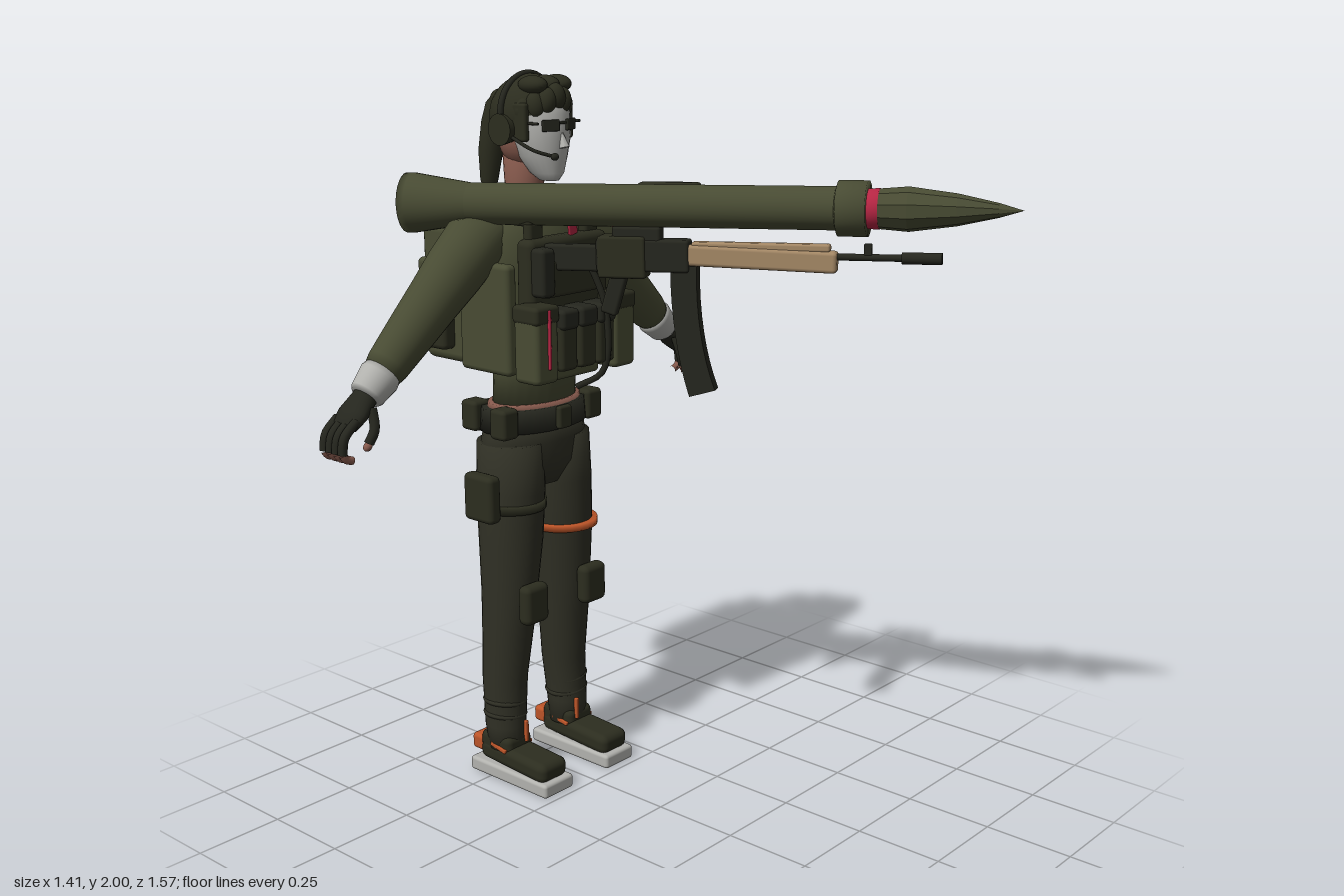
import * as THREE from 'three';
import { RoundedBoxGeometry } from 'three/addons/geometries/RoundedBoxGeometry.js';

const mat = (name, color, side = THREE.FrontSide) => {
  const m = new THREE.MeshStandardMaterial({ color, side });
  m.name = name;
  return m;
};

export function createModel() {
  const olive = mat('olive', 0x484b33), dark = mat('dark olive', 0x2c2d1f, THREE.DoubleSide),
    trouser = mat('trouser', 0x303025), black = mat('gunmetal', 0x25261e),
    grey = mat('light grey', 0xb2b2ae), skin = mat('skin', 0x875a4d),
    orange = mat('orange', 0xbb5428), red = mat('red', 0xb82644), tan = mat('tan', 0xa38765);
  const model = new THREE.Group();

  const add = (parent, name, geo, material, p = [0, 0, 0], r = [0, 0, 0], s = [1, 1, 1]) => {
    const m = new THREE.Mesh(geo, material);
    m.name = name;
    m.position.set(...p); m.rotation.set(...r); m.scale.set(...s);
    parent.add(m);
    return m;
  };
  const box = (parent, name, material, size, p, r, radius = 0.012) =>
    add(parent, name, new RoundedBoxGeometry(...size, 2, Math.min(radius, Math.min(...size) * 0.4)), material, p, r);
  const ball = (parent, name, material, p, s, r) =>
    add(parent, name, new THREE.SphereGeometry(1, 20, 14), material, p, r, s);
  const rod = (parent, name, material, r1, r2, len, p, r, n = 14) =>
    add(parent, name, new THREE.CylinderGeometry(r1, r2, len, n), material, p, r);
  const tube = (parent, name, material, pts, rad, n = 20) =>
    add(parent, name, new THREE.TubeGeometry(new THREE.CatmullRomCurve3(pts.map(q => new THREE.Vector3(...q))), n, rad, 8), material);

  // Skin over horizontal ellipses, rows from bottom to top: [y, cx, cz, rx, rz]
  const loft = (parent, name, material, rows, n = 24) => {
    const pos = [], idx = [];
    for (const [y, cx, cz, rx, rz] of rows)
      for (let i = 0; i < n; i++) {
        const a = i / n * Math.PI * 2;
        pos.push(cx + rx * Math.sin(a), y, cz + rz * Math.cos(a));
      }
    for (let j = 0; j < rows.length - 1; j++)
      for (let i = 0; i < n; i++) {
        const k = (i + 1) % n, a = j * n + i, b = j * n + k;
        idx.push(a, b, b + n, a, b + n, a + n);
      }
    const last = rows.length - 1, base = pos.length / 3;
    pos.push(rows[0][1], rows[0][0], rows[0][2], rows[last][1], rows[last][0], rows[last][2]);
    for (let i = 0; i < n; i++) {
      const k = (i + 1) % n;
      idx.push(base, k, i, base + 1, last * n + i, last * n + k);
    }
    const g = new THREE.BufferGeometry();
    g.setAttribute('position', new THREE.Float32BufferAttribute(pos, 3));
    g.setIndex(idx);
    g.computeVertexNormals();
    return add(parent, name, g, material);
  };
  const part = (name) => { const g = new THREE.Group(); g.name = name; model.add(g); return g; };

  // Legs and shoes
  for (const s of [1, -1]) {
    const leg = part(s > 0 ? 'leftLeg' : 'rightLeg');
    loft(leg, 'trouserLeg', trouser, [
      [0.09, s * 0.125, -0.48, 0.055, 0.055], [0.16, s * 0.127, -0.485, 0.058, 0.06],
      [0.3, s * 0.12, -0.49, 0.066, 0.064], [0.45, s * 0.113, -0.48, 0.074, 0.074],
      [0.56, s * 0.108, -0.475, 0.078, 0.082], [0.72, s * 0.1, -0.472, 0.09, 0.092],
      [0.86, s * 0.094, -0.475, 0.094, 0.1], [1.0, s * 0.09, -0.475, 0.088, 0.1]]);
    box(leg, 'kneePad', dark, [0.09, 0.115, 0.045], [s * 0.117, 0.55, -0.37], [0, 0, 0], 0.02);
    box(leg, 'sole', grey, [0.115, 0.042, 0.31], [s * 0.127, 0.021, -0.425], [0, 0, 0], 0.01);
    box(leg, 'shoe', dark, [0.105, 0.06, 0.26], [s * 0.127, 0.07, -0.415], [0.06, 0, 0], 0.022);
    box(leg, 'shoeCollar', dark, [0.1, 0.08, 0.12], [s * 0.127, 0.095, -0.485], [0, 0, 0], 0.02);
    box(leg, 'heelTab', orange, [0.088, 0.048, 0.05], [s * 0.127, 0.086, -0.56]);
    box(leg, 'sideStripe', orange, [0.112, 0.012, 0.06], [s * 0.127, 0.1, -0.465], [0.2, 0, 0], 0.003);
    box(leg, 'lacePull', orange, [0.012, 0.065, 0.012], [s * 0.105, 0.14, -0.424], [0, 0, 0], 0.003);
    for (const y of [0.19, 0.23])
      add(leg, 'trouserFold', new THREE.TorusGeometry(0.056, 0.008, 6, 24), trouser,
        [s * 0.126, y, -0.487], [Math.PI / 2, s * 0.12, 0]);
  }
  loft(model, 'hips', trouser, [[0.87, 0, -0.475, 0.09, 0.07], [0.93, 0, -0.477, 0.165, 0.1],
    [1.0, 0, -0.475, 0.178, 0.105], [1.06, 0, -0.472, 0.165, 0.098]]);
  loft(model, 'thighBand', orange, [[0.715, 0.101, -0.468, 0.102, 0.104], [0.735, 0.101, -0.468, 0.102, 0.104]]);
  loft(model, 'holsterStrap', dark, [[0.81, -0.096, -0.474, 0.099, 0.103], [0.835, -0.096, -0.474, 0.099, 0.103]]);
  box(model, 'holster', dark, [0.045, 0.135, 0.11], [-0.207, 0.86, -0.47], [0, 0, 0], 0.015);

  // Belt and pouches
  loft(model, 'belt', black, [[1.035, 0, -0.472, 0.178, 0.112], [1.1, 0, -0.472, 0.172, 0.108]]);
  box(model, 'buckle', dark, [0.05, 0.065, 0.02], [0, 1.07, -0.355]);
  for (const [x, z] of [[0.165, -0.42], [-0.165, -0.42], [0.14, -0.56], [-0.14, -0.56]])
    box(model, 'beltPouch', dark, [0.06, 0.085, 0.06], [x, 1.07, z]);
  for (const x of [-0.06, 0.06]) box(model, 'rearPouch', dark, [0.08, 0.08, 0.055], [x, 1.045, -0.605]);
  loft(model, 'waist', skin, [[1.08, 0, -0.47, 0.158, 0.1], [1.112, 0, -0.47, 0.152, 0.096]]);

  // Jacket and collar
  loft(model, 'jacket', olive, [[1.1, 0, -0.468, 0.138, 0.088], [1.2, 0, -0.465, 0.135, 0.088],
    [1.35, 0, -0.465, 0.155, 0.1], [1.48, 0, -0.468, 0.175, 0.11], [1.57, 0, -0.475, 0.18, 0.105],
    [1.63, 0, -0.485, 0.125, 0.085], [1.66, 0, -0.49, 0.07, 0.06]]);
  loft(model, 'collar', grey, [[1.57, 0, -0.51, 0.14, 0.11], [1.63, 0, -0.51, 0.13, 0.11],
    [1.67, 0, -0.51, 0.1, 0.09], [1.685, 0, -0.5, 0.065, 0.065]]);

  // Arms, local -y runs from shoulder to hand
  for (const s of [1, -1]) {
    const arm = part(s > 0 ? 'leftArm' : 'rightArm');
    arm.position.set(s * 0.19, 1.56, -0.49);
    arm.rotation.z = s * 0.84;
    loft(arm, 'sleeve', olive, [[-0.45, 0, 0, 0.05, 0.05], [-0.42, 0, 0, 0.058, 0.055], [-0.3, 0, 0, 0.068, 0.062],
      [-0.2, 0, 0, 0.075, 0.068], [-0.1, 0, 0, 0.084, 0.076], [0, 0, 0, 0.086, 0.082], [0.07, -s * 0.02, 0, 0.05, 0.055]]);
    loft(arm, 'cuff', grey, [[-0.525, 0, 0, 0.04, 0.04], [-0.515, 0, 0, 0.047, 0.046], [-0.46, 0, 0, 0.056, 0.053], [-0.44, 0, 0, 0.05, 0.05]]);
    ball(arm, 'elbowPad', dark, [0, -0.21, -0.055], [0.04, 0.055, 0.026]);
    loft(arm, 'glove', black, [[-0.62, 0, 0, 0.02, 0.045], [-0.58, 0, 0, 0.027, 0.05], [-0.53, 0, 0, 0.03, 0.036], [-0.5, 0, 0, 0.034, 0.035]]);
    for (let i = 0; i < 4; i++) {
      const z = -0.036 + i * 0.024;
      tube(arm, 'finger', black, [[s * 0.006, -0.6, z], [s * 0.006, -0.655, z], [-s * 0.02, -0.69, z]], 0.0125, 8);
      tube(arm, 'fingerTip', skin, [[-s * 0.018, -0.688, z], [-s * 0.035, -0.69, z], [-s * 0.055, -0.68, z]], 0.011, 6);
    }
    tube(arm, 'thumb', black, [[-s * 0.01, -0.545, 0.035], [-s * 0.045, -0.585, 0.05], [-s * 0.06, -0.62, 0.045]], 0.013, 8);
    ball(arm, 'thumbTip', skin, [-s * 0.063, -0.627, 0.044], [0.011, 0.014, 0.011]);
  }
  box(model, 'sleevePatch', red, [0.055, 0.009, 0.05], [0.333, 1.553, -0.485], [0, 0, -0.7], 0.003);

  // Vest with pouches
  const vest = part('vest');
  box(vest, 'frontPlate', dark, [0.3, 0.37, 0.06], [0, 1.39, -0.35], [0, 0, 0], 0.02);
  for (const s of [1, -1]) {
    box(vest, 'shoulderStrap', dark, [0.055, 0.03, 0.24], [s * 0.105, 1.62, -0.46]);
    box(vest, 'chestStrap', dark, [0.055, 0.12, 0.03], [s * 0.105, 1.56, -0.355]);
    box(vest, 'sidePouch', olive, [0.085, 0.2, 0.09], [s * 0.15, 1.3, -0.305], [0, 0, 0], 0.015);
    box(vest, 'sidePouchFlap', dark, [0.09, 0.05, 0.095], [s * 0.15, 1.385, -0.305]);
    box(vest, 'flankPanel', olive, [0.04, 0.3, 0.19], [s * 0.175, 1.36, -0.46], [0, 0, 0], 0.015);
  }
  for (let i = 0; i < 3; i++) {
    box(vest, 'magazinePouch', dark, [0.064, 0.15, 0.07], [-0.072 + i * 0.072, 1.3, -0.29]);
    box(vest, 'pouchFlap', black, [0.066, 0.055, 0.078], [-0.072 + i * 0.072, 1.365, -0.287]);
  }
  box(vest, 'adminPouch', dark, [0.2, 0.1, 0.04], [-0.02, 1.47, -0.31]);
  box(vest, 'radio', black, [0.05, 0.13, 0.05], [-0.12, 1.49, -0.305]);
  box(vest, 'lowerFlap', olive, [0.22, 0.06, 0.05], [0, 1.215, -0.345]);
  tube(vest, 'sling', black, [[0.02, 1.52, -0.28], [0.06, 1.38, -0.25], [0.07, 1.2, -0.27], [0.04, 1.15, -0.34]], 0.009);
  box(vest, 'redStrap', red, [0.03, 0.12, 0.009], [0.01, 1.63, -0.325], [0.15, 0, 0.25], 0.003);
  box(vest, 'redCord', red, [0.009, 0.16, 0.009], [-0.147, 1.32, -0.258], [0, 0, 0], 0.003);

  // Backpack
  const pack = part('backpack');
  box(pack, 'mainBag', olive, [0.32, 0.38, 0.18], [0, 1.4, -0.65], [0, 0, 0], 0.025);
  box(pack, 'lid', dark, [0.3, 0.07, 0.2], [0, 1.585, -0.645], [0, 0, 0], 0.025);
  box(pack, 'rearPocket', olive, [0.24, 0.17, 0.06], [0, 1.33, -0.755], [0, 0, 0], 0.018);
  box(pack, 'rearUpperPocket', olive, [0.21, 0.12, 0.05], [0, 1.5, -0.755], [0, 0, 0], 0.018);
  box(pack, 'pocketFlap', dark, [0.245, 0.03, 0.066], [0, 1.415, -0.755]);
  for (const s of [1, -1]) {
    box(pack, 'sidePocket', dark, [0.05, 0.19, 0.11], [s * 0.178, 1.345, -0.665], [0, 0, 0], 0.015);
    box(pack, 'sidePocketFlap', olive, [0.05, 0.06, 0.1], [s * 0.175, 1.47, -0.665], [0, 0, 0], 0.015);
    box(pack, 'packStrap', dark, [0.03, 0.37, 0.19], [s * 0.1, 1.4, -0.652], [0, 0, 0], 0.01);
  }

  // Head, hair and headset
  const head = part('head');
  loft(head, 'neck', skin, [[1.6, 0, -0.495, 0.062, 0.06], [1.7, 0, -0.49, 0.052, 0.055], [1.8, 0, -0.485, 0.058, 0.065]]);
  ball(head, 'jaw', skin, [0, 1.825, -0.475], [0.077, 0.085, 0.082]);
  loft(head, 'mask', grey, [[1.715, 0, -0.395, 0.022, 0.03], [1.735, 0, -0.403, 0.042, 0.05], [1.78, 0, -0.418, 0.066, 0.068],
    [1.83, 0, -0.425, 0.08, 0.082], [1.89, 0, -0.43, 0.083, 0.084], [1.94, 0, -0.44, 0.075, 0.075]]);
  add(head, 'nose', new THREE.ConeGeometry(0.014, 0.05, 8), grey, [0, 1.828, -0.342], [-0.25, 0, 0]);
  for (const s of [1, -1]) {
    box(head, 'glassesLens', black, [0.05, 0.03, 0.009], [s * 0.037, 1.862, -0.349], [0, s * 0.35, 0], 0.003);
    rod(head, 'glassesArm', black, 0.004, 0.004, 0.09, [s * 0.078, 1.868, -0.4], [Math.PI / 2, 0, 0], 6);
    rod(head, 'earCup', dark, 0.042, 0.036, 0.035, [s * 0.096, 1.85, -0.465], [0, 0, -s * Math.PI / 2], 18);
    box(head, 'sideLock', dark, [0.02, 0.1, 0.05], [s * 0.083, 1.87, -0.415], [0, 0, 0], 0.009);
  }
  rod(head, 'glassesBridge', black, 0.004, 0.004, 0.03, [0, 1.868, -0.344], [0, 0, Math.PI / 2], 6);
  add(head, 'hairCap', new THREE.SphereGeometry(1, 28, 16, 0, Math.PI * 2, 0, Math.PI * 0.56), dark,
    [0, 1.885, -0.465], [-0.3, 0, 0], [0.1, 0.105, 0.115]);
  for (let i = 0; i < 7; i++) {
    const a = (i - 3) * 0.38;
    ball(head, 'fringe', dark, [Math.sin(a) * 0.075, 1.935 - 0.012 * Math.abs(i - 3), -0.455 + Math.cos(a) * 0.09],
      [0.026, 0.036, 0.026], [0, a, 0.2 * (i % 2 ? 1 : -1)]);
  }
  for (const x of [-0.045, 0, 0.045]) ball(head, 'crownTuft', dark, [x, 1.965, -0.405], [0.032, 0.024, 0.045]);
  add(head, 'headband', new THREE.TorusGeometry(0.101, 0.009, 8, 28, Math.PI), black, [0, 1.89, -0.47]);
  tube(head, 'microphone', black, [[-0.1, 1.835, -0.44], [-0.082, 1.8, -0.37], [-0.035, 1.782, -0.34]], 0.005, 12);
  ball(head, 'microphoneTip', black, [-0.035, 1.782, -0.338], [0.012, 0.01, 0.01]);
  ball(head, 'hairTie', dark, [0, 1.915, -0.575], [0.03, 0.032, 0.03]);
  loft(head, 'ponytail', dark, [[1.64, 0, -0.628, 0.008, 0.01], [1.7, 0, -0.627, 0.025, 0.025], [1.78, 0, -0.618, 0.034, 0.035],
    [1.86, 0, -0.603, 0.033, 0.036], [1.91, 0, -0.59, 0.028, 0.032], [1.94, 0, -0.575, 0.014, 0.016]], 14);

  // Launcher, local +z runs from the rear flare to the tip
  const launcher = part('launcher');
  launcher.position.set(-0.25, 1.655, -0.68);
  launcher.lookAt(0.445, 1.69, 0.785);
  const turned = (name, material, pts, n = 28) =>
    add(launcher, name, new THREE.LatheGeometry(pts.map(p => new THREE.Vector2(...p)), n), material, [0, 0, 0], [Math.PI / 2, 0, 0]);
  turned('rearFlare', olive, [[0, 0], [0.08, 0], [0.08, 0.02], [0.055, 0.18]]);
  turned('barrelTube', olive, [[0.055, 0.18], [0.055, 1.18]]);
  turned('frontCollar', olive, [[0.054, 1.16], [0.07, 1.165], [0.07, 1.24], [0.04, 1.24]]);
  turned('redRing', red, [[0.04, 1.235], [0.05, 1.235], [0.051, 1.268], [0.04, 1.268]]);
  const tip = turned('warhead', olive, [[0, 1.265], [0.05, 1.265], [0.056, 1.34], [0.04, 1.46], [0.018, 1.56], [0, 1.62]], 10);
  tip.geometry = tip.geometry.toNonIndexed();
  tip.geometry.computeVertexNormals();
  box(launcher, 'sight', dark, [0.045, 0.05, 0.17], [0.097, 0.025, 0.7]);
  box(launcher, 'sightMount', dark, [0.05, 0.02, 0.05], [0.06, 0.015, 0.7]);

  // Rifle slung parallel below the tube
  const rifle = new THREE.Group();
  rifle.name = 'rifle';
  rifle.position.y = -0.122;
  launcher.add(rifle);
  const along = [Math.PI / 2, 0, 0];
  rod(rifle, 'barrel', black, 0.009, 0.009, 0.3, [0, 0, 1.25], along);
  rod(rifle, 'muzzle', black, 0.015, 0.015, 0.1, [0, 0, 1.375], along);
  box(rifle, 'frontSight', black, [0.012, 0.04, 0.02], [0, 0.015, 1.24], [0, 0, 0], 0.003);
  box(rifle, 'handguard', tan, [0.042, 0.055, 0.39], [0, -0.008, 0.968], [0.03, 0, 0], 0.01);
  box(rifle, 'upperGuard', tan, [0.03, 0.02, 0.36], [0, 0.022, 0.965], [0, 0, 0], 0.006);
  box(rifle, 'receiver', black, [0.05, 0.085, 0.25], [0, -0.005, 0.655], [0, 0, 0], 0.008);
  box(rifle, 'optic', black, [0.045, 0.05, 0.13], [0, 0.045, 0.64], [0, 0, 0], 0.008);
  box(rifle, 'receiverBlock', dark, [0.06, 0.11, 0.13], [0, -0.01, 0.6], [0, 0, 0], 0.008);
  box(rifle, 'grip', black, [0.032, 0.13, 0.045], [0, -0.1, 0.575], [0.3, 0, 0], 0.008);
  box(rifle, 'stock', black, [0.035, 0.07, 0.2], [0, -0.015, 0.44], [0, 0, 0], 0.008);
  // Curved magazine
  const mag = new THREE.Shape();
  mag.moveTo(-0.80, -0.03);
  mag.quadraticCurveTo(-0.795, -0.22, -0.845, -0.355);
  mag.lineTo(-0.775, -0.375);
  mag.quadraticCurveTo(-0.728, -0.22, -0.73, -0.03);
  const magGeo = new THREE.ExtrudeGeometry(mag, { depth: 0.036, bevelEnabled: false, curveSegments: 8 });
  add(rifle, 'magazine', magGeo, black, [-0.018, 0, 0], [0, Math.PI / 2, 0]);

  return model;
}
